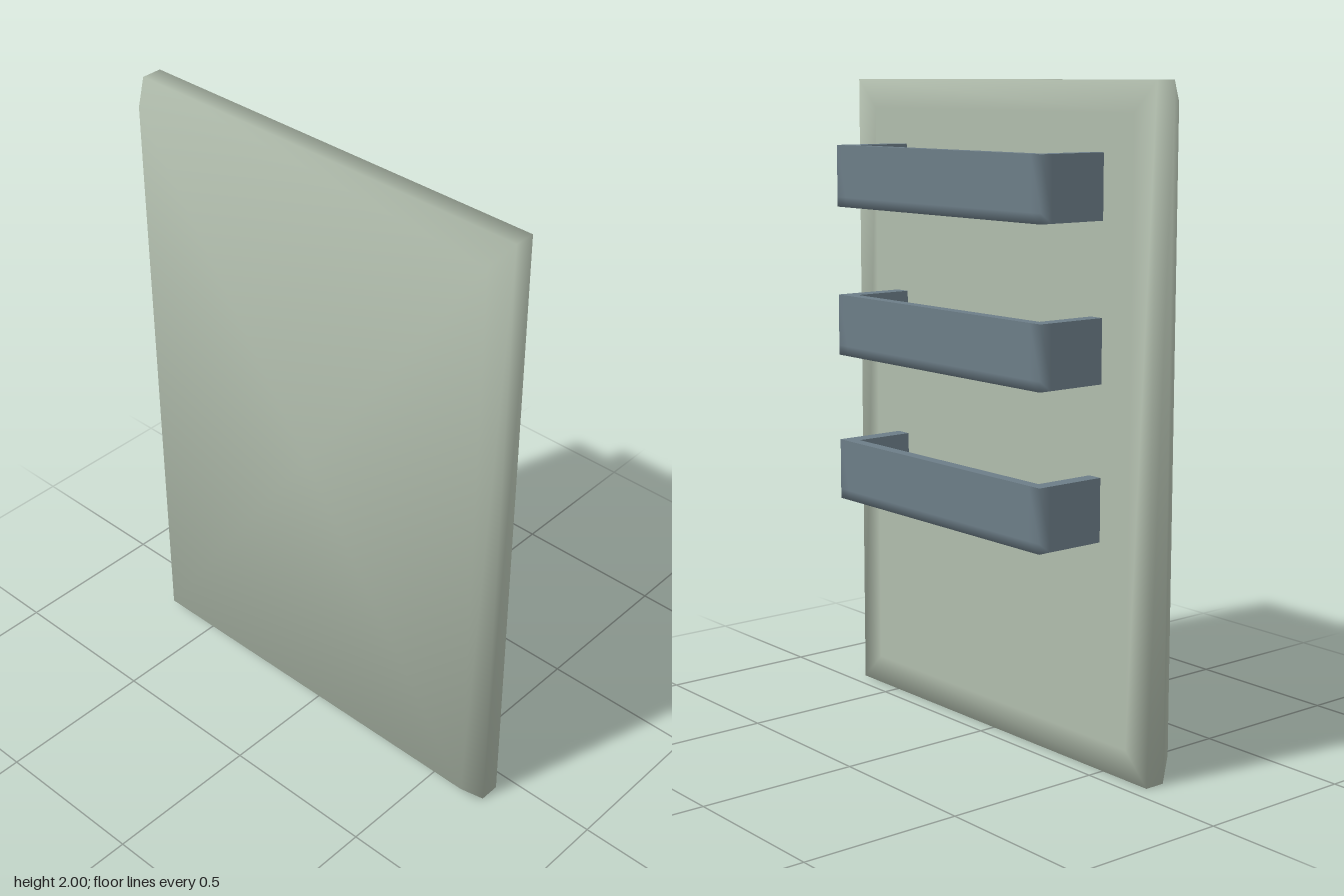
import * as THREE from 'three';

const panelMat = new THREE.MeshStandardMaterial({ color: 0xb0bcac });
panelMat.name = 'sage green';
const trayMat = new THREE.MeshStandardMaterial({ color: 0x6c7d87 });
trayMat.name = 'slate blue';
const floorMat = new THREE.MeshStandardMaterial({ color: 0x363f43 });
floorMat.name = 'dark slate';

// Joins rows of [x, y, z] points into one indexed surface
function grid(rows) {
  const n = rows[0].length, index = [];
  for (let r = 0; r < rows.length - 1; r++) {
    for (let j = 0; j < n - 1; j++) {
      const a = r * n + j, c = a + n;
      index.push(a, c, c + 1, a, c + 1, a + 1);
    }
  }
  const g = new THREE.BufferGeometry();
  g.setAttribute('position', new THREE.Float32BufferAttribute(rows.flat(2), 3));
  g.setIndex(index);
  g.computeVertexNormals();
  return g;
}

function flat(g) {
  const f = g.toNonIndexed();
  f.computeVertexNormals();
  return f;
}

function addMesh(parent, name, geometry, material) {
  const m = new THREE.Mesh(geometry, material);
  m.name = name;
  parent.add(m);
  return m;
}

// Door panel: rectangular rings from back to front, with softly blended normals
function panelGeometry() {
  const corners = [[-1, 1], [1, 1], [1, -1], [-1, -1], [-1, 1]];
  // half width, half height, z, outward part of the normal, z part of the normal
  const rings = [
    [0, 0, 0.053, 0, -1],
    [0.595, 0.91, 0.053, 0, -1],
    [0.685, 1, 0.053, 1, -1],
    [0.685, 1, 0.118, 1, 0.5],
    [0.643, 0.94, 0.178, 0.4, 1],
    [0, 0, 0.178, 0, 1],
  ];
  const g = grid(rings.map(([w, h, z]) => corners.map(([sx, sy]) => [sx * w, 1 + sy * h, z])));
  const normals = rings.flatMap(([, , , out, nz]) =>
    corners.flatMap(([sx, sy]) => new THREE.Vector3(sx * out, sy * out, nz).normalize().toArray()));
  g.setAttribute('normal', new THREE.Float32BufferAttribute(normals, 3));
  return g;
}

// Open-topped shelf tray fixed to the back of the panel
function tray(bottom) {
  const group = new THREE.Group();
  group.name = 'shelfTray';
  const front = 0.053, back = -0.178, x0 = -0.477, x1 = 0.485, top = bottom + 0.19;
  const at = (path, y) => path.map(([x, z]) => [x, y, z]);

  // Outer walls and underside, smooth around the corners
  const soft = [[x0, front], [x0, back + 0.04], [x0, back], [x0 + 0.045, back],
    [x1 - 0.045, back], [x1, back], [x1, back + 0.04], [x1, front]];
  const under = soft.map(([x]) => [x, bottom, front]);
  addMesh(group, 'trayShell',
    grid([under, at(soft, bottom), at(soft, bottom + 0.03), at(soft, top)]), trayMat);

  // Top rim and inner walls
  const outer = [[x0, front], [x0, back], [x1, back], [x1, front]];
  const inner = [[-0.43, front], [-0.43, -0.14], [0.433, -0.14], [0.433, front]];
  addMesh(group, 'trayRim',
    flat(grid([at(outer, top), at(inner, top), at(inner, bottom + 0.008)])), trayMat);

  // Tray floor
  const floor = new THREE.PlaneGeometry(0.863, 0.193).rotateX(-Math.PI / 2);
  addMesh(group, 'trayFloor', floor, floorMat).position.set(0.0015, bottom + 0.008, -0.0435);
  return group;
}

export function createModel() {
  const model = new THREE.Group();
  model.name = 'doorWithShelves';
  addMesh(model, 'doorPanel', panelGeometry(), panelMat);
  for (const y of [0.685, 1.146, 1.61]) model.add(tray(y));
  return model;
}
